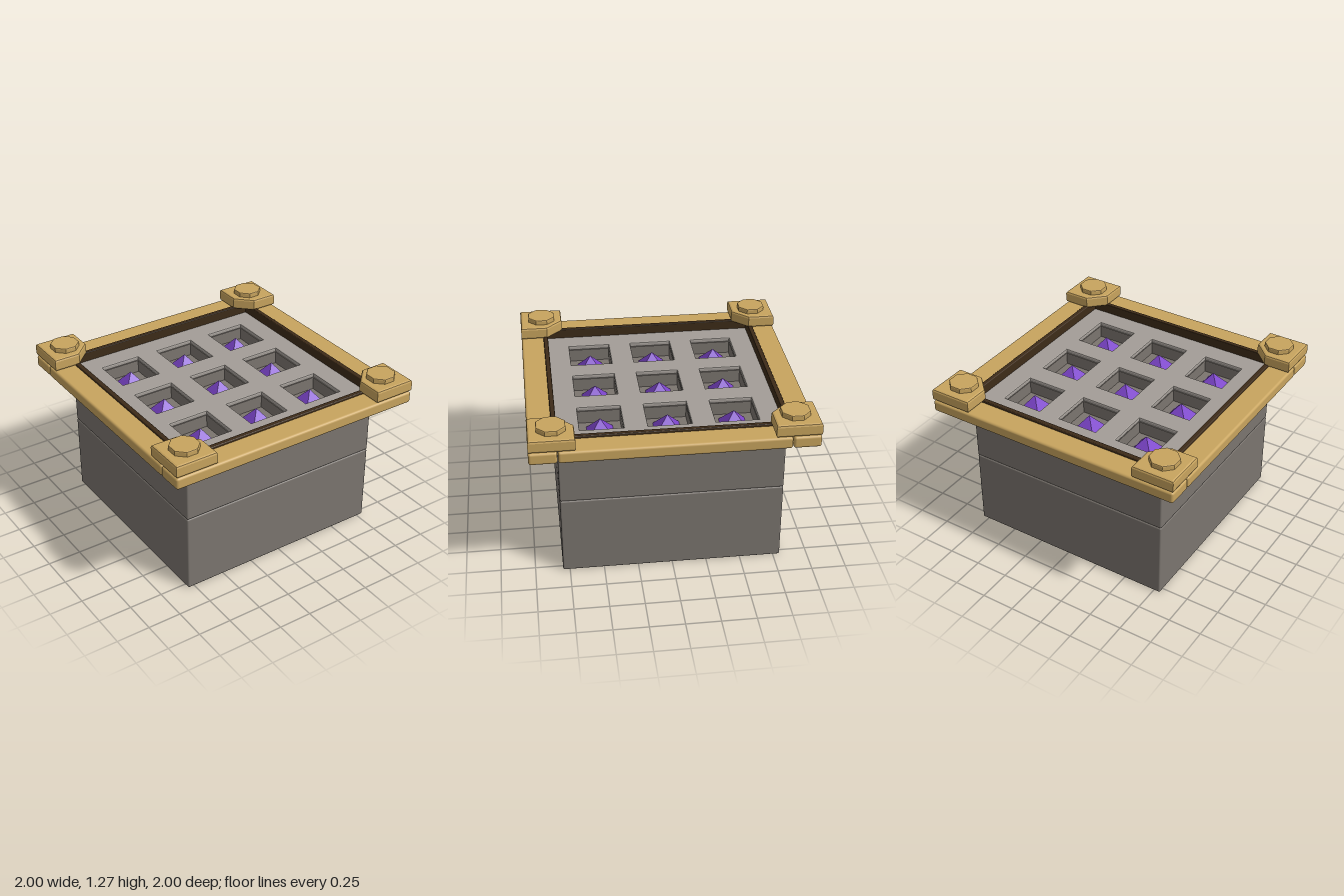
import * as THREE from 'three';
import { RoundedBoxGeometry } from 'three/addons/geometries/RoundedBoxGeometry.js';

const material = (color, flatShading = false) => new THREE.MeshStandardMaterial({ color, flatShading });

// Closed shape from [x, y] points
const polygon = (points) => new THREE.Shape(points.map(([x, y]) => new THREE.Vector2(x, y)));

const square = (cx, cy, h) => [[cx - h, cy - h], [cx + h, cy - h], [cx + h, cy + h], [cx - h, cy + h]];

// Horizontal slab between two heights, with bevelled edges kept inside the outline
function slab(shape, y0, y1, bevel) {
  const geometry = new THREE.ExtrudeGeometry(shape, {
    depth: y1 - y0 - 2 * bevel, bevelEnabled: bevel > 0, bevelSize: bevel,
    bevelThickness: bevel, bevelOffset: -bevel, bevelSegments: 2,
  });
  return geometry.rotateX(-Math.PI / 2).translate(0, y0 + bevel, 0);
}

export function createModel() {
  const model = new THREE.Group();
  const stone = material(0x7b756f);
  const paleStone = material(0xa39d97);
  const gold = material(0xc8a45e);
  const darkWood = material(0x3d2b18);
  const crystal = material(0x7d45cc, true);

  const add = (name, geometry, mat, parent = model) => {
    const mesh = new THREE.Mesh(geometry, mat);
    mesh.name = name;
    parent.add(mesh);
    return mesh;
  };
  const box = (name, size, position, radius, mat, parent) =>
    add(name, new RoundedBoxGeometry(...size, 2, radius), mat, parent).position.set(...position);

  // Stone body in two courses
  box('lowerBody', [1.6, 0.6, 1.6], [0, 0.3, 0], 0.012, stone);
  box('upperBody', [1.6, 0.35, 1.6], [0, 0.775, 0], 0.012, stone);

  // Pocket walls and pale top plate share a 3 x 3 grid of square holes
  const cells = [];
  for (const x of [-0.48, 0, 0.48]) for (const z of [-0.48, 0, 0.48]) cells.push([x, z]);
  const gridShape = (half) => {
    const shape = polygon(square(0, 0, 0.8));
    shape.holes = cells.map(([x, z]) => new THREE.Path(polygon(square(x, z, half).reverse()).getPoints()));
    return shape;
  };
  add('pocketWalls', slab(gridShape(0.155), 0.935, 1.045, 0), stone);
  add('topPlate', slab(gridShape(0.155), 1.045, 1.08, 0.01), paleStone);

  // Crystal pyramid standing in each pocket
  const pyramid = new THREE.ConeGeometry(0.095 * Math.SQRT2, 0.12, 4).rotateY(Math.PI / 4);
  for (const [x, z] of cells) add('crystal', pyramid, crystal).position.set(x, 1.01, z);

  // Gold rim: long front and back rails, shorter side rails between them
  for (const s of [-1, 1]) {
    box('frontBackRail', [2, 0.088, 0.195], [0, 1.089, s * 0.9025], 0.018, gold);
    box('sideRail', [0.195, 0.088, 1.6], [s * 0.9025, 1.089, 0], 0.018, gold);
    // Dark lining just inside the rim
    box('frontBackLining', [1.66, 0.09, 0.035], [0, 1.105, s * 0.8125], 0.006, darkWood);
    box('sideLining', [0.035, 0.09, 1.66], [s * 0.8125, 1.105, 0], 0.006, darkWood);
  }

  // Corner brackets with chamfered inner corner and octagonal stud
  const bracketGeometry = slab(polygon([
    [0.8, 0.68], [1, 0.68], [1, 1], [0.68, 1], [0.68, 0.8],
  ]), 1.138, 1.23, 0.016);
  const r = 0.1 / Math.cos(Math.PI / 8);
  const studGeometry = slab(polygon(Array.from({ length: 8 }, (_, i) => {
    const a = (i + 0.5) * Math.PI / 4;
    return [0.838 + r * Math.cos(a), 0.838 + r * Math.sin(a)];
  })), 1.22, 1.267, 0.008);
  for (let i = 0; i < 4; i++) {
    const corner = new THREE.Group();
    corner.name = 'corner';
    corner.rotation.y = i * Math.PI / 2;
    add('cornerBracket', bracketGeometry, gold, corner);
    add('cornerStud', studGeometry, gold, corner);
    model.add(corner);
  }
  return model;
}
